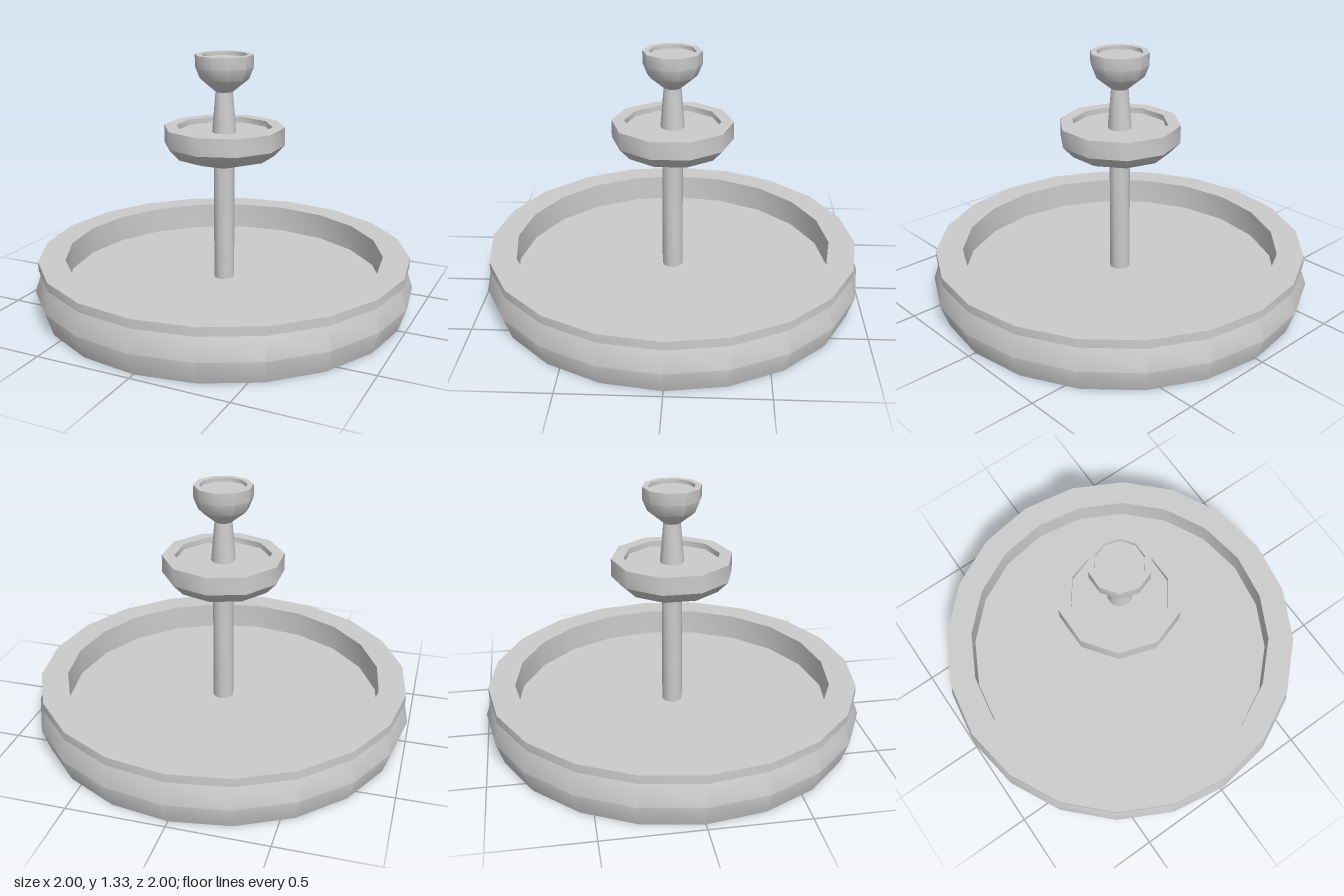
import * as THREE from 'three';
import { toCreasedNormals } from 'three/addons/utils/BufferGeometryUtils.js';

const material = new THREE.MeshStandardMaterial({ color: 0xcccccc, side: THREE.DoubleSide });

// Turned part from a [radius, height] profile, smooth except at sharp edges
function turned(name, profile, sides) {
  const points = profile.map(([r, y]) => new THREE.Vector2(r, y));
  const geometry = toCreasedNormals(new THREE.LatheGeometry(points, sides), THREE.MathUtils.degToRad(40));
  const mesh = new THREE.Mesh(geometry, material);
  mesh.name = name;
  return mesh;
}

export function createModel() {
  const fountain = new THREE.Group();
  fountain.name = 'fountain';

  fountain.add(
    // Wide basin, hollow underneath: bulging wall, overhanging rim, inner wall, floor around the column
    turned('basin', [
      [0.96, 0], [1, 0.12], [0.96, 0.235], [0.98, 0.235], [0.98, 0.28],
      [0.84, 0.28], [0.84, 0.135], [0.05, 0.135],
    ], 20),

    // Hollow column from the basin floor to the middle bowl
    turned('column', [[0.054, 0.135], [0.054, 0.747]], 10),

    // Middle bowl with a shallow recess
    turned('middleBowl', [
      [0.054, 0.747], [0.259, 0.807], [0.315, 0.867], [0.315, 0.96],
      [0.25, 0.96], [0.25, 0.93], [0.05, 0.93],
    ], 10),

    // Tapered stem between the bowls
    turned('stem', [[0.063, 0.93], [0.045, 1.14]], 10),

    // Small top cup with a shallow recess
    turned('topCup', [
      [0.045, 1.14], [0.127, 1.207], [0.151, 1.267], [0.151, 1.33],
      [0.12, 1.33], [0.12, 1.31], [0, 1.31],
    ], 10),
  );

  return fountain;
}
